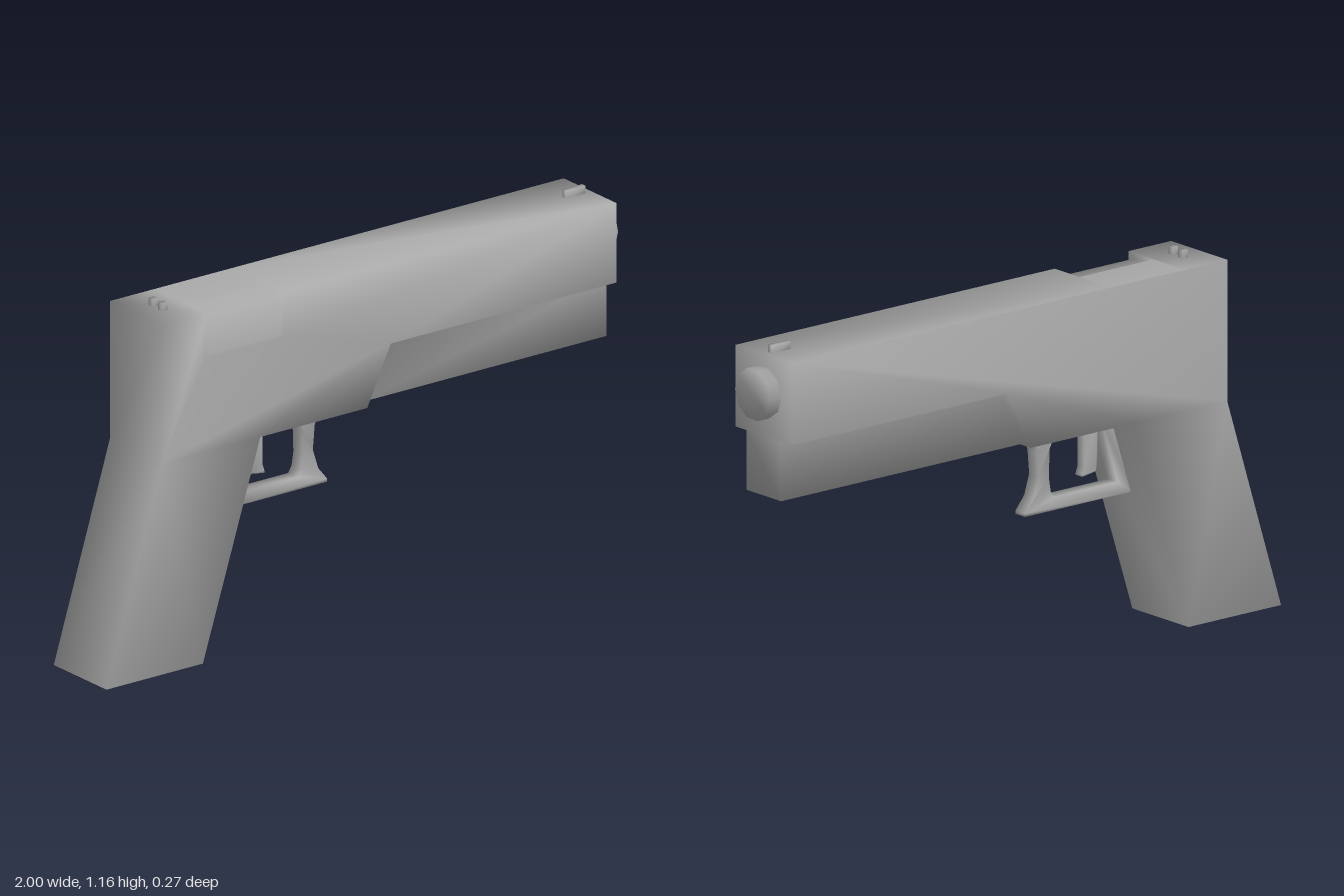
import * as THREE from 'three';
import { mergeVertices } from 'three/addons/utils/BufferGeometryUtils.js';

const metal = new THREE.MeshStandardMaterial({ color: 0xa8a8a8 });
metal.name = 'grey metal';

// Share corner vertices so normals blend softly over the edges
function smooth(geo) {
  geo.deleteAttribute('normal');
  geo.deleteAttribute('uv');
  const g = mergeVertices(geo, 1e-4);
  g.computeVertexNormals();
  return g;
}

function add(group, name, geo, x = 0, y = 0, z = 0) {
  const mesh = new THREE.Mesh(smooth(geo), metal);
  mesh.name = name;
  mesh.position.set(x, y, z);
  group.add(mesh);
}

// Side outline extruded symmetrically across z
function slab(points, half) {
  const shape = new THREE.Shape(points.map(p => new THREE.Vector2(...p)));
  const geo = new THREE.ExtrudeGeometry(shape, { depth: half * 2, bevelEnabled: false });
  return geo.translate(0, 0, -half);
}

// Collects planar polygons, each turned to face a given outward direction
function shell() {
  const pos = [];
  const face = (pts, out) => {
    const n = new THREE.Vector3(...out);
    const a = out.map(Math.abs);
    const drop = a.indexOf(Math.max(...a));
    const flat = pts.map(p => new THREE.Vector2(...p.filter((_, i) => i !== drop)));
    for (const tri of THREE.ShapeUtils.triangulateShape(flat, [])) {
      const [p, q, r] = tri.map(i => new THREE.Vector3(...pts[i]));
      const normal = q.clone().sub(p).cross(r.clone().sub(p));
      const order = normal.dot(n) < 0 ? [p, r, q] : [p, q, r];
      order.forEach(v => pos.push(v.x, v.y, v.z));
    }
  };
  return {
    face,
    cap: (pts, z, dir) => face(pts.map(([x, y]) => [x, y, z]), [0, 0, dir]),
    wall: ([x0, y0], [x1, y1], z0, z1) =>
      face([[x0, y0, z0], [x1, y1, z0], [x1, y1, z1], [x0, y0, z1]], [y1 - y0, x0 - x1, 0]),
    geometry: () => new THREE.BufferGeometry()
      .setAttribute('position', new THREE.Float32BufferAttribute(pos, 3)),
  };
}

function bodyGeometry() {
  const W = 0.133, R = 0.082;              // half widths of body and lower rail
  const T = 1.14, M = 0.955;               // top and front end
  const X0 = -0.615, X1 = -0.32;           // side port ends
  const Y0 = 0.995, Y1 = 1.12, Z0 = 0.015, Z1 = 0.112;
  const s = shell();

  // Outer sides, with the port cut out of the +z one
  const lower = [[-0.785, 0.69], [-1, 0], [-0.63, 0], [-0.41, 0.69], [0, 0.69], [0.09, 0.88], [M, 0.88], [M, T]];
  s.cap([...lower, [-0.785, T]], -W, -1);
  s.cap([...lower, [X1, T], [X1, Y0], [X0, Y0], [X0, T], [-0.785, T]], W, 1);

  // Back, grip and underside
  s.wall([-0.785, T], lower[0], -W, W);
  for (let i = 0; i < 4; i++) s.wall(lower[i], lower[i + 1], -W, W);

  // Front end and narrow lower rail
  s.wall([M, 0.88], [M, T], -W, W);
  s.wall([M, 0.69], [M, 0.88], -R, R);
  s.wall([0, 0.69], [M, 0.69], -R, R);
  for (const d of [-1, 1]) {
    s.cap([[0, 0.69], [M, 0.69], [M, 0.88], [0.09, 0.88]], d * R, d);
    const [a, b] = d < 0 ? [-W, -R] : [R, W];
    s.wall([0, 0.69], [0.09, 0.88], a, b);
    s.wall([0.09, 0.88], [M, 0.88], a, b);
  }

  // Top around the port
  s.wall([M, T], [X1, T], -W, W);
  s.wall([X0, T], [-0.785, T], -W, W);
  s.wall([X1, T], [X0, T], -W, Z0);

  // Shallow port recess
  s.cap([[X0, Y1], [X1, Y1], [X1, T], [X0, T]], Z0, 1);
  s.wall([X1, Y1], [X0, Y1], Z0, Z1);
  s.cap([[X0, Y0], [X1, Y0], [X1, Y1], [X0, Y1]], Z1, 1);
  s.wall([X1, Y0], [X0, Y0], Z1, W);
  const end = [[T, Z0], [T, W], [Y0, W], [Y0, Z1], [Y1, Z1], [Y1, Z0]];
  s.face(end.map(([y, z]) => [X0, y, z]), [1, 0, 0]);
  s.face(end.map(([y, z]) => [X1, y, z]), [-1, 0, 0]);
  return s.geometry();
}

export function createModel() {
  const group = new THREE.Group();
  group.name = 'pistol';

  add(group, 'body', bodyGeometry());

  // Ten-sided barrel end
  add(group, 'barrel', new THREE.CylinderGeometry(0.083, 0.083, 0.06, 10).rotateZ(-Math.PI / 2), 0.97, 1.02, 0);

  // Sights
  add(group, 'frontSight', new THREE.BoxGeometry(0.075, 0.035, 0.018), 0.893, 1.147, 0);
  for (const [name, d] of [['leftRearSight', -1], ['rightRearSight', 1]])
    add(group, name, new THREE.BoxGeometry(0.022, 0.035, 0.02), -0.701, 1.147, d * 0.023);

  // Trigger
  add(group, 'trigger', slab([
    [-0.365, 0.7], [-0.365, 0.55], [-0.358, 0.522], [-0.305, 0.513], [-0.305, 0.52], [-0.312, 0.54], [-0.312, 0.7],
  ], 0.016));

  // Trigger guard with a flared front post
  add(group, 'triggerGuard', slab([
    [-0.5, 0.432], [-0.07, 0.432], [-0.07, 0.442], [-0.105, 0.485], [-0.125, 0.55], [-0.118, 0.63],
    [-0.103, 0.665], [-0.103, 0.7], [-0.185, 0.7], [-0.185, 0.665], [-0.168, 0.63], [-0.165, 0.54],
    [-0.172, 0.495], [-0.185, 0.473], [-0.44, 0.473], [-0.368, 0.7], [-0.42, 0.7],
  ], 0.023));

  return group;
}
